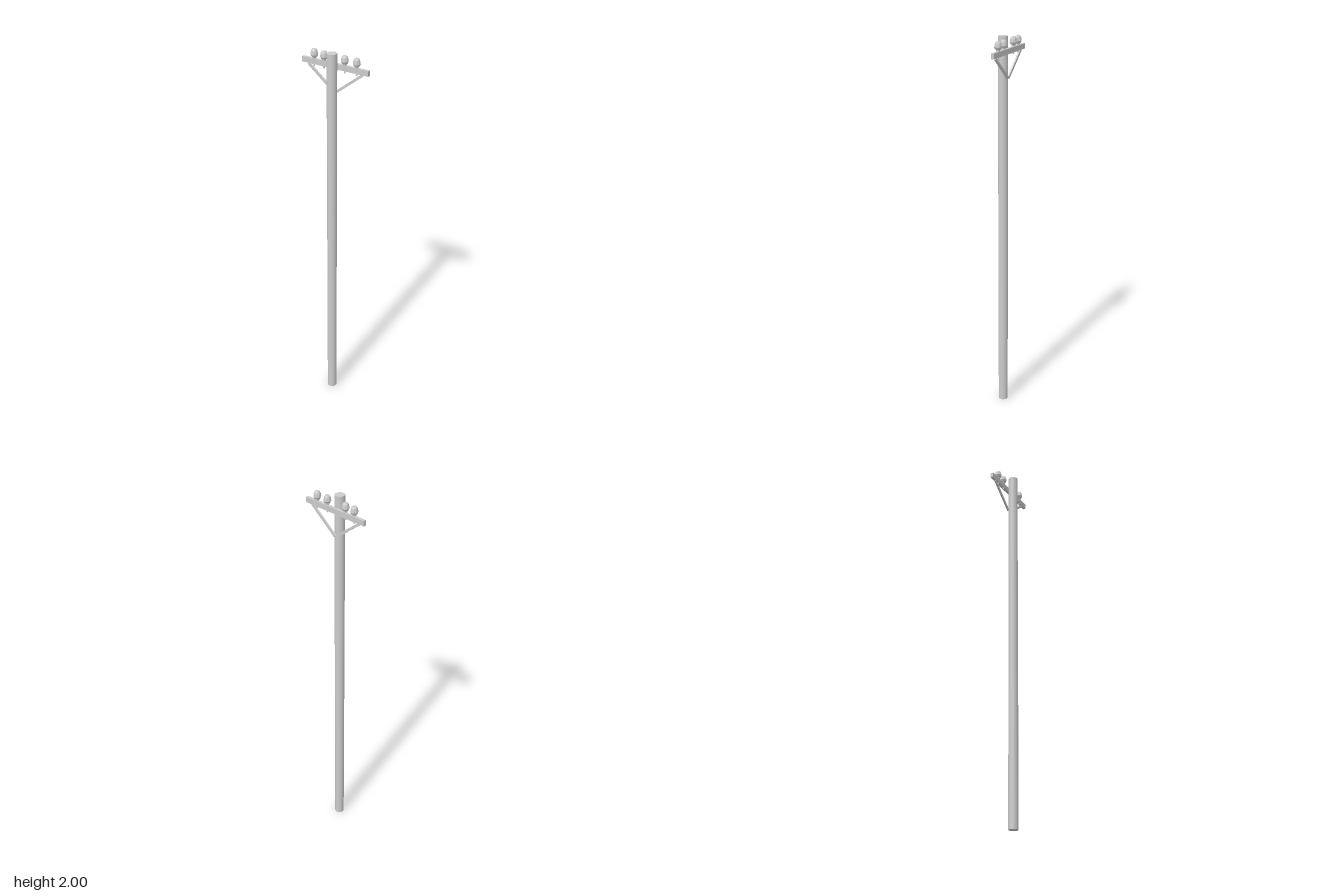
import * as THREE from 'three';

const ARM_Z = -0.02;

export function createModel() {
  const group = new THREE.Group();
  const smooth = new THREE.MeshStandardMaterial({ color: 0xcccccc });
  const faceted = new THREE.MeshStandardMaterial({ color: 0xcccccc, flatShading: true });

  const add = (name, geometry, material, x, y, z) => {
    const mesh = new THREE.Mesh(geometry, material);
    mesh.name = name;
    mesh.position.set(x, y, z);
    group.add(mesh);
    return mesh;
  };

  // Round pole, standing slightly in front of the crossarm
  add('pole', new THREE.CylinderGeometry(0.025, 0.025, 2, 24), smooth, 0, 1, 0.01);

  // Crossarm bolted to the back of the pole
  add('crossarm', new THREE.BoxGeometry(0.366, 0.027, 0.015), faceted, 0, 1.929, ARM_Z);

  // Diagonal braces from the pole up to the underside of the arm
  for (const side of [-1, 1]) {
    const from = new THREE.Vector2(side * 0.004, 1.798);
    const to = new THREE.Vector2(side * 0.15, 1.914);
    const span = to.clone().sub(from);
    const brace = add('brace', new THREE.BoxGeometry(span.length(), 0.013, 0.008), faceted,
      (from.x + to.x) / 2, (from.y + to.y) / 2, -0.018);
    brace.rotation.z = span.angle();
  }

  // Bell-shaped insulators on pins that pass through the arm
  const profile = [
    [0, 0], [0.009, 0], [0.010, 0.007], [0.014, 0.009], [0.019, 0.019],
    [0.017, 0.031], [0.015, 0.039], [0.010, 0.046], [0, 0.046],
  ].map(([r, y]) => new THREE.Vector2(r, y));
  const insulator = new THREE.LatheGeometry(profile, 10);
  const pin = new THREE.CylinderGeometry(0.004, 0.004, 0.05, 8);
  for (const x of [-0.117, -0.062, 0.053, 0.118]) {
    add('insulator', insulator, faceted, x, 1.944, -0.018);
    add('insulatorPin', pin, faceted, x, 1.93, -0.018);
  }

  return group;
}
